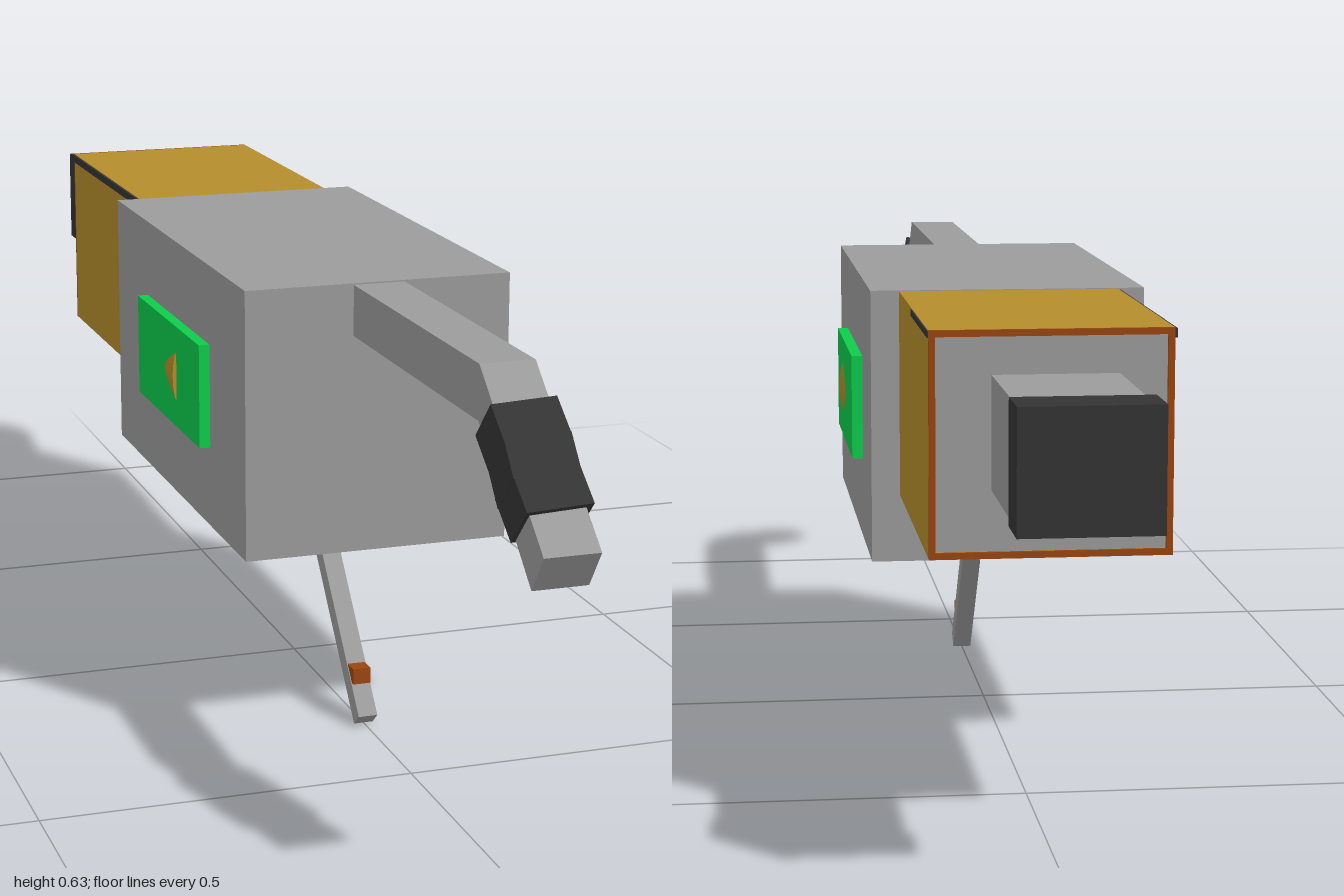
import * as THREE from 'three';

const mat = (name, color) => {
  const m = new THREE.MeshStandardMaterial({ color });
  m.name = name;
  return m;
};

export function createModel() {
  const grey = mat('metal grey', 0x9b9b9b);
  const black = mat('rubber black', 0x343434);
  const gold = mat('brass gold', 0xb48d2c);
  const rust = mat('rust orange', 0x9a4610);
  const green = mat('panel green', 0x0dcc4b);

  const model = new THREE.Group();
  model.name = 'model';
  const add = (name, geometry, material) => {
    const mesh = new THREE.Mesh(geometry, material);
    mesh.name = name;
    model.add(mesh);
    return mesh;
  };

  // Box given by its limits on each axis
  const block = (name, material, [x0, x1], [y0, y1], [z0, z1]) => {
    const mesh = add(name, new THREE.BoxGeometry(x1 - x0, y1 - y0, z1 - z0), material);
    mesh.position.set((x0 + x1) / 2, (y0 + y1) / 2, (z0 + z1) / 2);
    return mesh;
  };

  // Slanted bar in the centre plane between two [y, z] points
  const bar = (name, material, [y0, z0], [y1, z1], width, thick) => {
    const length = Math.hypot(y1 - y0, z1 - z0);
    const mesh = add(name, new THREE.BoxGeometry(width, thick, length), material);
    mesh.position.set(0, (y0 + y1) / 2, (z0 + z1) / 2);
    mesh.rotation.x = -Math.atan2(y1 - y0, z1 - z0);
    return mesh;
  };

  // Main body
  block('body', grey, [-0.183, 0.183], [0.27, 0.635], [-0.295, 0.36]);

  // Rear housing: grey core wrapped in brass sheets with rust rims
  block('rearCore', grey, [-0.143, 0.14], [0.365, 0.628], [-0.716, -0.29]);
  const wraps = [
    ['Top', [-0.148, 0.145], [0.626, 0.634]],
    ['Bottom', [-0.148, 0.145], [0.36, 0.368]],
    ['Left', [0.137, 0.145], [0.367, 0.627]],
    ['Right', [-0.148, -0.14], [0.367, 0.627]],
  ];
  for (const [side, xs, ys] of wraps) {
    block('wrap' + side, gold, xs, ys, [-0.717, -0.295]);
    block('wrapRim' + side, rust, xs, ys, [-0.721, -0.717]);
  }
  block('wrapSeamLeft', black, [0.144, 0.1465], [0.625, 0.633], [-0.72, -0.49]);
  block('wrapSeamRight', black, [-0.151, -0.147], [0.622, 0.633], [-0.72, -0.3]);

  // Stock with end pad
  block('stock', grey, [-0.083, 0.07], [0.442, 0.58], [-0.93, -0.71]);
  block('stockPad', black, [-0.09, 0.075], [0.44, 0.585], [-1, -0.927]);

  // Bent front arm, drawn from the side and extruded across
  const profile = new THREE.Shape([
    [0.35, 0.633], [0.8, 0.633], [1, 0.46], [0.968, 0.412], [0.8, 0.565], [0.35, 0.565],
  ].map(([z, y]) => new THREE.Vector2(z, y)));
  const arm = new THREE.ExtrudeGeometry(profile, { depth: 0.07, bevelEnabled: false });
  arm.rotateY(-Math.PI / 2).translate(0.035, 0, 0);
  add('frontArm', arm, grey);

  // Overlapping tape bands, each slightly skewed
  const tapeStart = [0.577, 0.832];
  const tapeEnd = [0.479, 0.938];
  const at = (t) => tapeStart.map((v, i) => v + (tapeEnd[i] - v) * t);
  [[0, 0.4, 0.05], [0.3, 0.72, -0.06], [0.6, 1, 0.05]].forEach(([a, b, skew], i) => {
    const band = bar('tapeBand' + (i + 1), black, at(a), at(b), 0.083, 0.066);
    band.rotateY(skew);
  });

  // Slanted leg with a small catch
  bar('leg', grey, [0.3, 0.073], [0.011, 0.32], 0.027, 0.026);
  block('legCatch', rust, [-0.0125, 0.0125], [0.057, 0.079], [0.275, 0.303]);

  // Side panels with half-sunk cones pointing back
  for (const side of [1, -1]) {
    const name = side > 0 ? 'Left' : 'Right';
    const panel = block('panel' + name, green, [0.178, 0.198], [0.382, 0.526], [-0.125, 0.195]);
    panel.position.x *= side;
    const cone = new THREE.ConeGeometry(0.038, 0.096, 32);
    cone.rotateX(-Math.PI / 2).scale(0.22, 1, 1);
    add('pointer' + name, cone, gold).position.set(side * 0.195, 0.454, 0.032);
  }

  return model;
}
